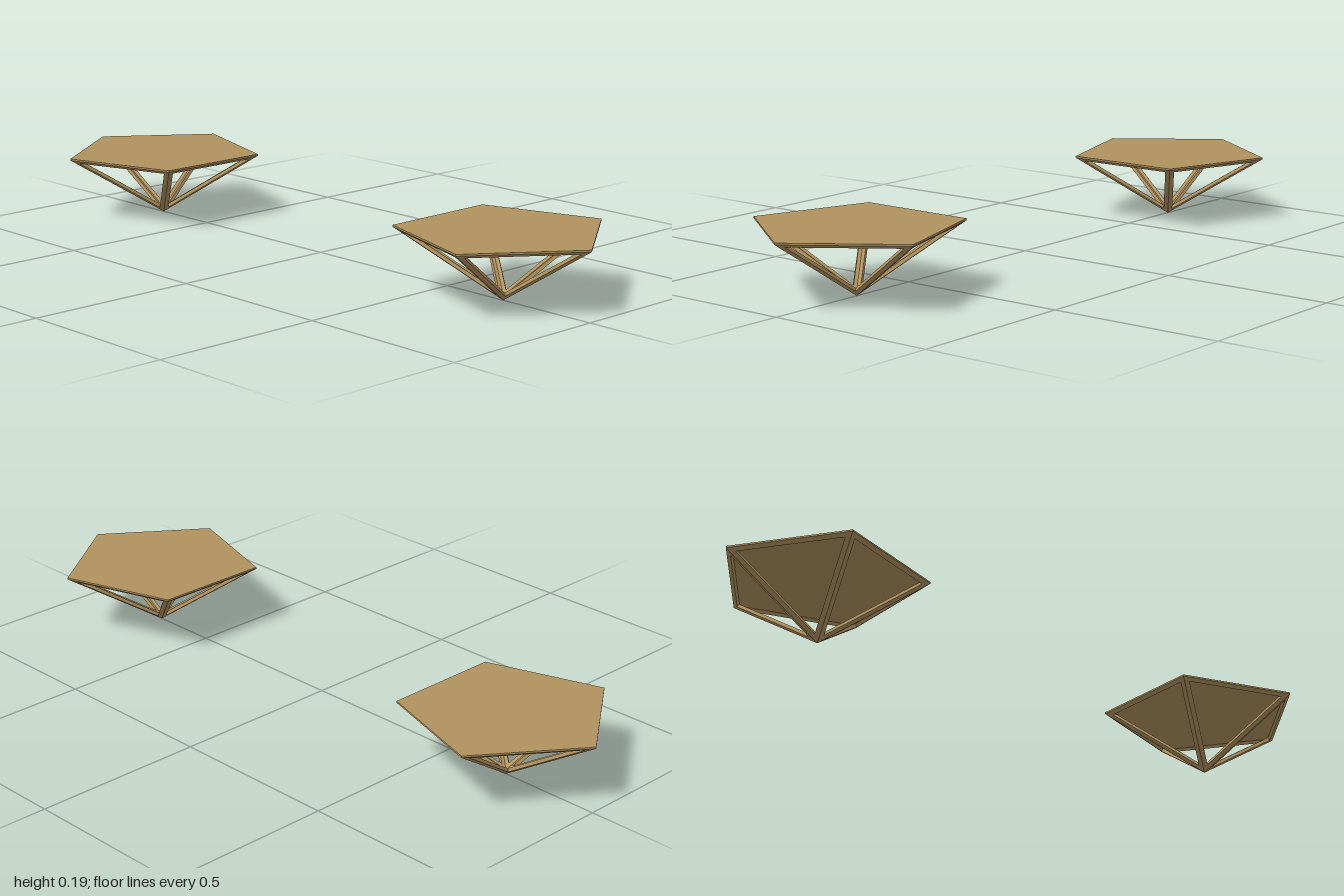
import * as THREE from 'three';

const R = 0.297;         // pentagon circumradius
const RIM = 0.186;       // height where the frame meets the plate
const TOP = 0.191;       // upper face of the plate
const CENTRE = 0.703;    // distance of each table from the middle
const DEPTH = 0.01;      // beam thickness
const WIDTH = 0.014;     // beam half-width, measured on each pyramid face

const wood = new THREE.MeshStandardMaterial({ color: 0xb0925f });
wood.name = 'wood';

const corner = (i) => {
  const a = (i * Math.PI * 2) / 5;
  return new THREE.Vector3(R * Math.sin(a), RIM, R * Math.cos(a));
};

// One triangular side of the inverted pyramid, with a triangular opening
function frameSide(i) {
  const outer = [corner(i + 1), corner(i), new THREE.Vector3(0, 0, 0)];
  const inward = new THREE.Triangle(...outer).getNormal(new THREE.Vector3()).negate();
  const hub = new THREE.Vector3(0, RIM, 0);
  const middle = new THREE.Vector3();
  outer.forEach((p) => middle.addScaledVector(p, 1 / 3));

  // Inner shell is parallel to the outer one, scaled about the plate centre
  const scale = 1 - DEPTH / hub.clone().sub(outer[0]).dot(inward);
  const inner = outer.map((p) => p.clone().sub(hub).multiplyScalar(scale).add(hub));

  const edgeDistance = outer[0].clone().add(outer[1]).multiplyScalar(0.5).distanceTo(middle);
  const hole = outer.map((p) => p.clone().lerp(middle, WIDTH / edgeDistance));
  const holeInner = hole.map((p) => p.clone().addScaledVector(inward, DEPTH));

  // Outer face, opening walls and inner face
  const rings = [outer, hole, holeInner, inner];
  const points = [];
  for (let r = 0; r < 3; r++) {
    for (let k = 0; k < 3; k++) {
      const n = (k + 1) % 3;
      const [a, b, c, d] = [rings[r][k], rings[r][n], rings[r + 1][n], rings[r + 1][k]];
      points.push(a, b, c, a, c, d);
    }
  }
  const geometry = new THREE.BufferGeometry().setFromPoints(points);
  geometry.computeVertexNormals();
  const mesh = new THREE.Mesh(geometry, wood);
  mesh.name = 'frameSide' + (i + 1);
  return mesh;
}

function pentagonTable(name) {
  const table = new THREE.Group();
  table.name = name;

  // Flat five-sided plate
  const plateGeometry = new THREE.CylinderGeometry(R, R, TOP - RIM, 5).toNonIndexed();
  plateGeometry.computeVertexNormals();
  const plate = new THREE.Mesh(plateGeometry, wood);
  plate.name = 'topPlate';
  plate.position.y = (TOP + RIM) / 2;
  table.add(plate);

  // Open pyramid frame below it
  const frame = new THREE.Group();
  frame.name = 'pyramidFrame';
  for (let i = 0; i < 5; i++) frame.add(frameSide(i));
  table.add(frame);
  return table;
}

export function createModel() {
  const model = new THREE.Group();
  model.name = 'pentagonPair';

  const front = pentagonTable('frontPentagon');
  front.position.z = CENTRE;

  const back = pentagonTable('backPentagon');
  back.position.z = -CENTRE;
  back.rotation.y = Math.PI;

  model.add(front, back);
  return model;
}
